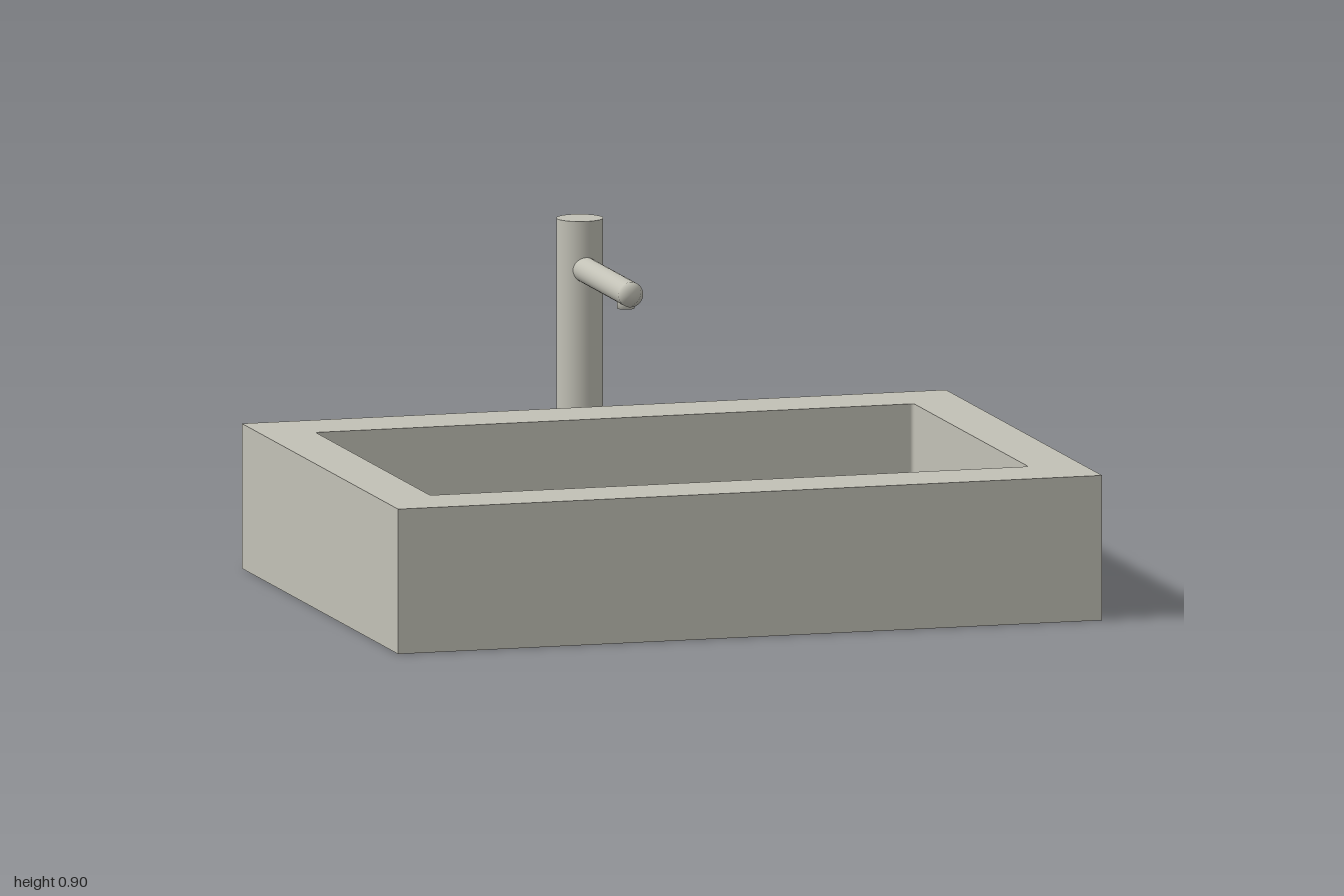
import * as THREE from 'three';
import { mergeVertices } from 'three/addons/utils/BufferGeometryUtils.js';

// Rectangle outline with slightly rounded corners (shape y becomes -z)
function rect(x0, x1, y0, y1, r, Type = THREE.Shape) {
  const s = new Type();
  if (r === 0) {
    s.moveTo(x0, y0).lineTo(x1, y0).lineTo(x1, y1).lineTo(x0, y1).closePath();
    return s;
  }
  s.absarc(x1 - r, y0 + r, r, -Math.PI / 2, 0);
  s.absarc(x1 - r, y1 - r, r, 0, Math.PI / 2);
  s.absarc(x0 + r, y1 - r, r, Math.PI / 2, Math.PI);
  s.absarc(x0 + r, y0 + r, r, Math.PI, Math.PI * 1.5);
  s.closePath();
  return s;
}

function extrudeUp(shape, height) {
  return new THREE.ExtrudeGeometry(shape, { depth: height, bevelEnabled: false, curveSegments: 4 })
    .rotateX(-Math.PI / 2);
}

// Cylinder whose shading runs smoothly over the end edges
function softCylinder(radius, length) {
  const g = new THREE.CylinderGeometry(radius, radius, length, 32);
  g.deleteAttribute('normal');
  g.deleteAttribute('uv');
  const merged = mergeVertices(g, 1e-4);
  merged.computeVertexNormals();
  return merged;
}

export function createModel() {
  const group = new THREE.Group();
  const stone = new THREE.MeshStandardMaterial({ color: 0xc2c1b6 });
  stone.name = 'warm grey';

  const add = (name, geometry, x = 0, y = 0, z = 0) => {
    const mesh = new THREE.Mesh(geometry, stone);
    mesh.name = name;
    mesh.position.set(x, y, z);
    group.add(mesh);
  };

  // Basin walls with the bowl opening, and the bowl floor
  const walls = rect(-1, 1, -0.85, 0.65, 0);
  walls.holes.push(rect(-0.85, 0.85, -0.65, 0.45, 0.01, THREE.Path));
  add('basinWalls', extrudeUp(walls, 0.4));
  add('basinFloor', extrudeUp(rect(-0.85, 0.85, -0.65, 0.45, 0.01), 0.1));

  // Free-standing tap behind the basin
  add('tapPost', new THREE.CylinderGeometry(0.064, 0.064, 0.9, 48), 0, 0.45, -0.786);
  add('tapSpout', softCylinder(0.035, 0.45).rotateX(Math.PI / 2), 0, 0.765, -0.52);
  add('tapNozzle', softCylinder(0.024, 0.03), 0, 0.735, -0.343);

  return group;
}
